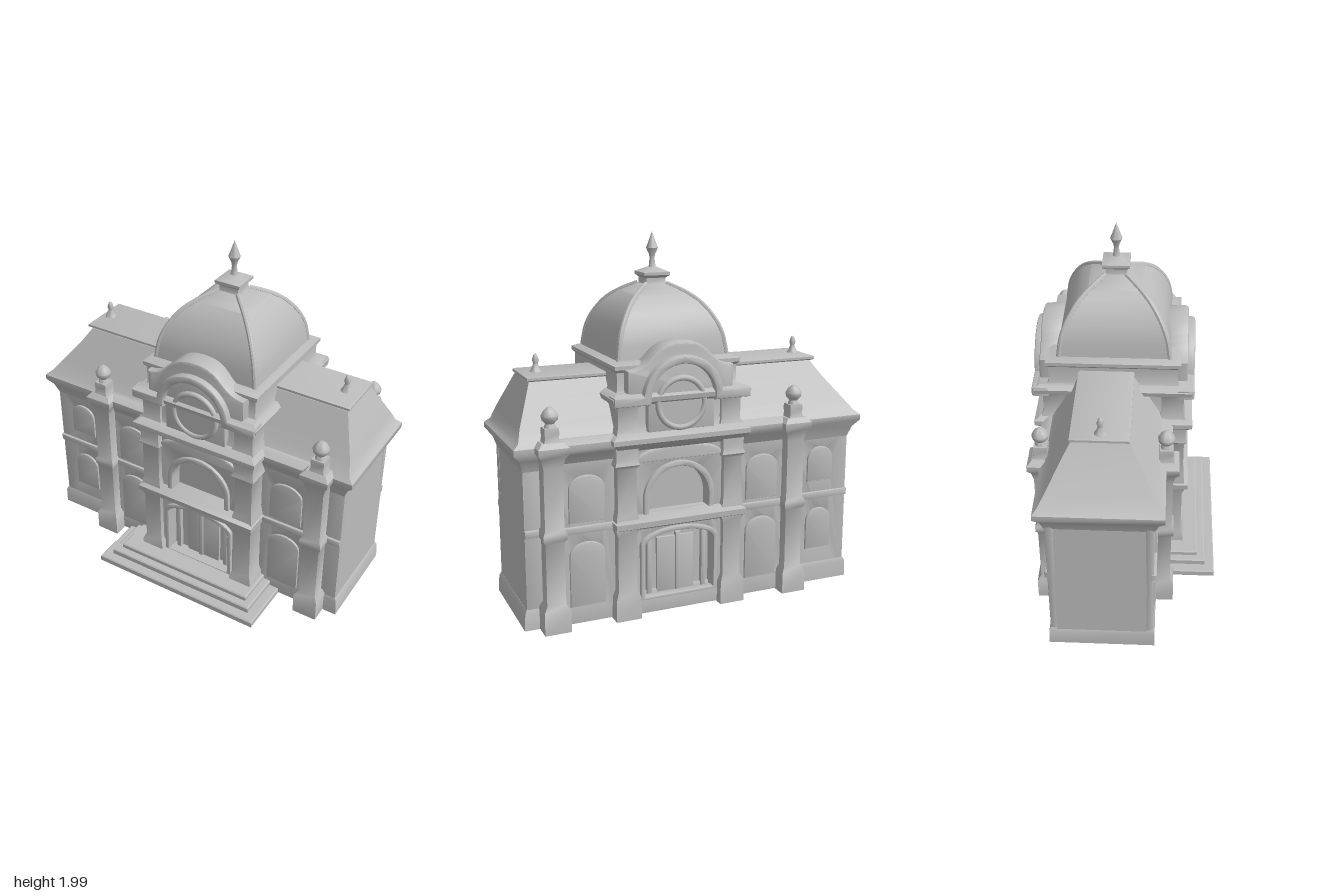
import * as THREE from 'three';
import { toCreasedNormals } from 'three/addons/utils/BufferGeometryUtils.js';

const stone = new THREE.MeshStandardMaterial({ color: 0xbcbcbc });
stone.name = 'pale grey stone';

const WING = -0.11, TOWER = -0.078, CX = 0.113; // symmetry planes

export function createModel() {
  const model = new THREE.Group();
  model.name = 'domedHall';

  function add(name, geo, x = 0, y = 0, z = 0) {
    const mesh = new THREE.Mesh(toCreasedNormals(geo, 0.75), stone);
    mesh.name = name;
    mesh.position.set(x, y, z);
    model.add(mesh);
    return mesh;
  }

  // Stack of rectangles [y, x0, x1, z0, z1] joined into a solid
  function loft(name, sections) {
    const pos = [], index = [];
    const corners = ([y, x0, x1, z0, z1]) => [[x0, y, z1], [x1, y, z1], [x1, y, z0], [x0, y, z0]];
    const rings = sections.map(corners);
    for (let s = 0; s < 4; s++) {
      const base = pos.length / 3;
      rings.forEach(r => pos.push(...r[s], ...r[(s + 1) % 4]));
      for (let i = 0; i < rings.length - 1; i++) {
        const a = base + i * 2;
        index.push(a, a + 1, a + 3, a, a + 3, a + 2);
      }
    }
    const cap = pos.length / 3;
    pos.push(...rings[0].flat(), ...rings[rings.length - 1].flat());
    index.push(cap, cap + 2, cap + 1, cap, cap + 3, cap + 2);
    index.push(cap + 4, cap + 5, cap + 6, cap + 4, cap + 6, cap + 7);
    const geo = new THREE.BufferGeometry();
    geo.setAttribute('position', new THREE.Float32BufferAttribute(pos, 3));
    geo.setIndex(index);
    return add(name, geo);
  }

  // Moulded block: profile of [y, outward offset] around a rectangle
  const block = (name, x0, x1, z0, z1, profile) =>
    loft(name, profile.map(([y, o]) => [y, x0 - o, x1 + o, z0 - o, z1 + o]));

  // Soft-edged slab spanning za..zb
  function slab(name, shape, za, zb, bevel = 0.01) {
    const geo = new THREE.ExtrudeGeometry(shape, {
      depth: zb - za - 2 * bevel, bevelThickness: bevel, bevelSize: bevel,
      bevelOffset: -bevel, bevelSegments: 2, curveSegments: 16,
    });
    return add(name, geo, 0, 0, za + bevel);
  }
  // The same slab on the front and back
  function slabs(name, shape, za, zb, c, bevel) {
    slab(name + 'Front', shape, za, zb, bevel);
    slab(name + 'Back', shape, 2 * c - zb, 2 * c - za, bevel);
  }

  // Opening with an elliptical head of the given rise
  function arch(x0, x1, y0, y1, rise, Kind = THREE.Shape) {
    const p = new Kind();
    p.moveTo(x0, y0);
    p.lineTo(x1, y0);
    p.lineTo(x1, y1 - rise);
    p.absellipse((x0 + x1) / 2, y1 - rise, (x1 - x0) / 2, rise, 0, Math.PI, false);
    p.closePath();
    return p;
  }
  function rect(x0, x1, y0, y1) {
    return new THREE.Shape([[x0, y0], [x1, y0], [x1, y1], [x0, y1]].map(p => new THREE.Vector2(...p)));
  }
  function frame(name, x0, x1, y0, y1, rise, w, za, zb, c) {
    const s = arch(x0 - w, x1 + w, y0 - w * 0.6, y1 + w, rise + w * 0.6);
    s.holes.push(arch(x0, x1, y0, y1, rise, THREE.Path));
    slabs(name, s, za, zb, c, 0.006);
  }

  // Wing core and hipped roof
  loft('wingCore', [[0, -0.955, 0.935, -0.35, 0.13], [0.87, -0.945, 0.93, -0.35, 0.13]]);
  loft('plinth', [[0, -0.96, 0.95, -0.395, 0.175], [0.09, -0.96, 0.945, -0.392, 0.172], [0.11, -0.95, 0.935, -0.385, 0.165]]);
  loft('eavesAndRoof', [
    [0.84, -0.945, 0.93, -0.385, 0.165], [0.9, -0.965, 0.95, -0.405, 0.185], [0.94, -0.995, 0.985, -0.435, 0.215],
    [0.97, -0.995, 0.985, -0.435, 0.215], [0.995, -0.965, 0.955, -0.41, 0.19], [1.06, -0.915, 0.935, -0.37, 0.15],
    [1.18, -0.82, 0.885, -0.3, 0.08], [1.265, -0.765, 0.85, -0.25, 0.03]]);
  block('roofDeck', -0.78, 0.85, -0.25, 0.025, [[1.265, 0], [1.272, 0.01], [1.285, 0.01], [1.29, 0]]);

  // Wing walls with arched windows: [x0, x1, depth, windows]
  const rows = [[0.11, 0.43], [0.565, 0.785]], smallRows = [[0.21, 0.42], [0.61, 0.78]];
  [[-0.95, -0.57, 0.165, -0.77, 0.062, smallRows], [-0.58, -0.22, 0.195, -0.385, 0.078, rows],
    [0.44, 0.83, 0.195, 0.615, 0.078, rows], [0.8, 0.935, 0.165, null, 0, []]]
    .forEach(([x0, x1, z, wx, h, levels]) => {
      const wall = rect(x0, x1, 0, 0.9);
      levels.forEach(([y0, y1]) => {
        wall.holes.push(arch(wx - h, wx + h, y0, y1, 0.06, THREE.Path));
        frame('windowFrame', wx - h, wx + h, y0, y1, 0.06, 0.018, z - 0.02, z + 0.012, WING);
      });
      slabs('wingWall', wall, 0.12, z, WING);
      slabs('stringCourse', rect(x0, x1, 0.495, 0.535), 0.12, z + 0.015, WING);
    });
  block('wingCornice', -0.58, 0.83, -0.445, 0.225, [[0.87, -0.03], [0.92, 0], [0.945, 0.02], [0.975, 0.02], [1, -0.02]]);

  // Wing pilasters carrying urns
  const urn = [[0, 0], [0.035, 0], [0.028, 0.03], [0.022, 0.045], [0.04, 0.065], [0.044, 0.085],
    [0.03, 0.11], [0.014, 0.125], [0, 0.13]].map(p => new THREE.Vector2(...p));
  for (const x of [-0.563, 0.8]) {
    for (const z of [0.212, -0.432]) {
      block('wingPilaster', x - 0.05, x + 0.05, z - 0.04, z + 0.04,
        [[0, 0.02], [0.12, 0.02], [0.15, 0], [0.48, 0], [0.5, 0.012], [0.53, 0.012], [0.55, 0],
          [0.87, 0], [0.92, 0.012], [0.945, 0.03], [0.975, 0.03], [1, 0.005]]);
      block('urnPedestal', x - 0.035, x + 0.035, z - 0.035, z + 0.035, [[0.99, 0.012], [1.02, 0], [1.05, 0.003], [1.07, 0]]);
      add('urn', new THREE.LatheGeometry(urn, 20), x, 1.045, z);
    }
  }

  // Roof end finials
  const spike = [[0, 0], [0.035, 0], [0.022, 0.02], [0.012, 0.045], [0.018, 0.065], [0.01, 0.09], [0, 0.1]]
    .map(p => new THREE.Vector2(...p));
  for (const x of [-0.735, 0.775]) add('roofFinial', new THREE.LatheGeometry(spike, 16), x, 1.285, -0.11);

  // Central pavilion: core, arched facade, ledges
  loft('pavilionCore', [[0, -0.23, 0.455, -0.376, 0.22], [1, -0.23, 0.455, -0.376, 0.22]]);
  const facade = rect(-0.23, 0.455, 0, 0.96);
  facade.holes.push(arch(-0.085, 0.31, 0.09, 0.45, 0.07, THREE.Path));
  facade.holes.push(arch(-0.055, 0.285, 0.555, 0.8, 0.17, THREE.Path));
  slabs('pavilionFacade', facade, 0.21, 0.28, TOWER);
  frame('doorFrame', -0.085, 0.31, 0.1, 0.45, 0.07, 0.025, 0.25, 0.3, TOWER);
  frame('archFrame', -0.055, 0.285, 0.56, 0.8, 0.17, 0.03, 0.25, 0.298, TOWER);
  slabs('archHood', arch(-0.13, 0.36, 0.84, 0.92, 0.07), 0.25, 0.296, TOWER);
  slabs('door', rect(0.005, 0.22, 0.08, 0.4), 0.2, 0.235, TOWER, 0.006);
  for (const x of [-0.05, 0.1, 0.265]) slabs('doorPost', rect(x - 0.014, x + 0.014, 0.08, 0.42), 0.2, 0.245, TOWER, 0.006);
  for (const x of [-0.185, 0.412]) {
    for (const z of [0.25, 2 * TOWER - 0.25]) {
      block('pavilionPilaster', x - 0.052, x + 0.052, z - 0.06, z + 0.06,
        [[0, 0.018], [0.12, 0.016], [0.16, 0], [0.46, 0], [0.5, 0.015], [0.56, 0.008], [0.6, 0],
          [0.82, 0], [0.84, 0.015], [0.87, 0.005], [0.95, 0.01]]);
    }
  }
  block('pavilionLedge', -0.235, 0.46, -0.476, 0.32, [[0.485, -0.02], [0.505, 0.02], [0.535, 0.022], [0.56, -0.02]]);
  block('pavilionCornice', -0.24, 0.465, -0.476, 0.32, [[0.91, -0.02], [0.935, 0.01], [0.955, 0.03], [0.98, 0.03], [1.005, -0.01]]);

  // Clock storey with corner piers
  block('clockStorey', -0.21, 0.435, -0.436, 0.28, [[0.99, 0.02], [1.04, 0], [1.17, 0]]);
  for (const x of [-0.175, 0.4]) {
    for (const z of [0.24, 2 * TOWER - 0.24]) {
      block('clockPier', x - 0.055, x + 0.055, z - 0.06, z + 0.06, [[0.99, 0.015], [1.03, 0], [1.13, 0], [1.17, 0.02]]);
    }
  }
  block('clockCornice', -0.24, 0.465, -0.47, 0.314, [[1.14, -0.01], [1.165, 0.025], [1.19, 0.03], [1.21, 0]]);
  block('attic', -0.22, 0.445, -0.42, 0.264, [[1.19, 0.02], [1.22, 0], [1.31, 0], [1.325, 0.015], [1.345, 0.015], [1.36, -0.02]]);

  // Curved gables, clocks and their hoods
  const gable = new THREE.Shape();
  gable.moveTo(-0.18, 1.15);
  gable.lineTo(0.406, 1.15);
  gable.lineTo(0.406, 1.325);
  gable.bezierCurveTo(0.26, 1.33, 0.29, 1.46, CX, 1.46);
  gable.bezierCurveTo(-0.064, 1.46, -0.034, 1.33, -0.18, 1.325);
  gable.closePath();
  slabs('gable', gable, 0.2, 0.318, TOWER, 0.014);
  slabs('clockBacking', arch(CX - 0.185, CX + 0.185, 1.0, 1.34, 0.18), 0.24, 0.318, TOWER);

  const hood = new THREE.Shape();
  hood.moveTo(-0.265, 1.15);
  hood.lineTo(-0.065, 1.15);
  hood.absarc(CX, 1.17, 0.178, Math.PI, 0, true);
  hood.lineTo(0.29, 1.15);
  hood.lineTo(0.49, 1.15);
  hood.lineTo(0.49, 1.2);
  hood.lineTo(0.34, 1.2);
  hood.absarc(CX, 1.17, 0.222, 0.14, Math.PI - 0.14, false);
  hood.lineTo(-0.265, 1.2);
  hood.closePath();
  slabs('clockHood', hood, 0.26, 0.355, TOWER, 0.012);

  for (const s of [1, -1]) {
    const z = TOWER + s * 0.4;
    add('clockRing', new THREE.TorusGeometry(0.128, 0.016, 10, 48), CX + 0.005, 1.145, z);
    add('clockFace', new THREE.CylinderGeometry(0.125, 0.125, 0.03, 48).rotateX(Math.PI / 2), CX + 0.005, 1.145, z - s * 0.01);
  }

  // Square dome with hip ribs, lantern and finial
  const DZ = -0.073;
  const domeProfile = [[1.33, 0.312], [1.38, 0.306], [1.42, 0.3], [1.46, 0.293], [1.52, 0.272], [1.58, 0.238],
    [1.63, 0.198], [1.67, 0.148], [1.695, 0.105], [1.715, 0.065]];
  loft('dome', domeProfile.map(([y, h]) => [y, CX - h, CX + h, DZ - h * 0.97, DZ + h * 0.97]));
  for (const sx of [1, -1]) {
    for (const sz of [1, -1]) {
      const path = new THREE.CatmullRomCurve3(domeProfile.map(([y, h]) =>
        new THREE.Vector3(CX + sx * (h - 0.008), y, DZ + sz * (h * 0.97 - 0.008))));
      add('domeRib', new THREE.TubeGeometry(path, 24, 0.014, 8));
    }
  }
  block('lantern', CX - 0.05, CX + 0.05, DZ - 0.05, DZ + 0.05,
    [[1.69, 0.02], [1.72, 0.005], [1.745, 0.005], [1.76, 0.023], [1.775, 0.023], [1.79, -0.01], [1.8, -0.03]]);
  const finial = [[0.03, 0], [0.018, 0.03], [0.013, 0.07], [0.016, 0.09], [0.032, 0.125], [0.02, 0.155], [0.008, 0.19], [0, 0.21]]
    .map(p => new THREE.Vector2(...p));
  add('domeFinial', new THREE.LatheGeometry(finial, 20), CX, 1.775, DZ);

  // Front steps
  [[-0.44, 0.595, 0.51, 0, 0.035], [-0.385, 0.54, 0.455, 0.03, 0.068], [-0.345, 0.5, 0.41, 0.06, 0.095]]
    .forEach(([x0, x1, z1, y0, y1]) => loft('step', [[y0, x0, x1, 0.1, z1], [y1 - 0.006, x0, x1, 0.1, z1], [y1, x0 + 0.006, x1 - 0.006, 0.1, z1 - 0.006]]));

  return model;
}
